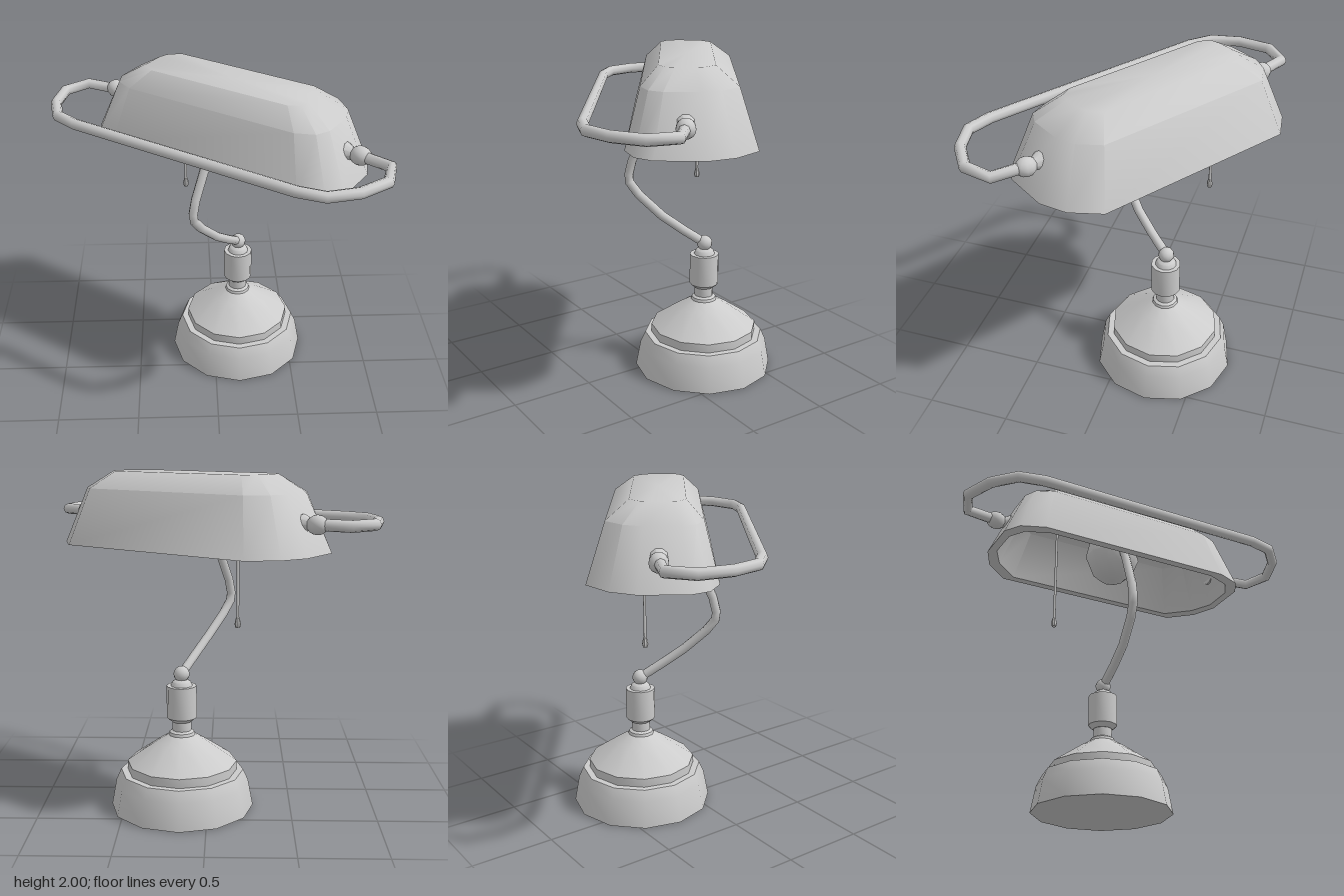
import * as THREE from 'three';
import { toCreasedNormals } from 'three/addons/utils/BufferGeometryUtils.js';

const grey = new THREE.MeshStandardMaterial({ color: 0xcccccc });
const CREASE = 0.7;

function addMesh(parent, name, geometry, x = 0, y = 0, z = 0) {
  const mesh = new THREE.Mesh(geometry, grey);
  mesh.name = name;
  mesh.position.set(x, y, z);
  parent.add(mesh);
  return mesh;
}

// Turned part from [radius, y] pairs, listed bottom to top
function turned(profile, sides) {
  const points = profile.map(([r, y]) => new THREE.Vector2(r, y));
  return toCreasedNormals(new THREE.LatheGeometry(points, sides), CREASE);
}

// Tube whose rings sit exactly on the given points
function bentTube(points, radius, sides) {
  const curve = new THREE.CatmullRomCurve3(
    points.map((p) => new THREE.Vector3(...p)), false, 'catmullrom', 0);
  curve.getPointAt = (t, target) => curve.getPoint(t, target);
  curve.getTangentAt = (t, target) => curve.getTangent(t, target);
  return new THREE.TubeGeometry(curve, points.length - 1, radius, sides);
}

// Skin over closed rings that share one point count
function loft(rings) {
  const n = rings[0].length;
  const index = [];
  for (let i = 0; i < rings.length - 1; i++) {
    for (let j = 0; j < n; j++) {
      const k = (j + 1) % n;
      const a = i * n + j, b = i * n + k, c = b + n, d = a + n;
      index.push(a, b, c, a, c, d);
    }
  }
  const geometry = new THREE.BufferGeometry();
  geometry.setAttribute('position', new THREE.Float32BufferAttribute(rings.flat(2), 3));
  geometry.setIndex(index);
  return toCreasedNormals(geometry, CREASE);
}

// Half outlines [x, z] of the shade, front to back, mirrored into full rings
const rimHalf = [[0.625, 0.157], [0.772, 0.1], [0.835, 0], [0.84, -0.28], [0.772, -0.432], [0.625, -0.563]];
const topHalf = [[0.45, -0.02], [0.515, -0.055], [0.53, -0.11], [0.53, -0.22], [0.515, -0.27], [0.45, -0.33]];

function shadeRing(t, y, inset = 0) {
  const half = rimHalf.map(([x, z], i) => {
    const px = x + (topHalf[i][0] - x) * t;
    const pz = z + (topHalf[i][1] - z) * t;
    return [px - inset, y, pz - inset * Math.max(-1, Math.min(1, (pz + 0.18) / 0.15))];
  });
  return [...half, ...half.map(([x, h, z]) => [-x, h, z]).reverse()];
}

function shadeGeometry() {
  const centre = (y) => Array.from({ length: 12 }, () => [0, y, -0.18]);
  return loft([
    centre(1.95), shadeRing(1, 1.95, 0.03), shadeRing(0.46, 1.87, 0.04), shadeRing(0, 1.57, 0.05),
    shadeRing(0, 1.57), shadeRing(0.46, 1.9), shadeRing(1, 2), centre(2),
  ]);
}

export function createModel() {
  const lamp = new THREE.Group();
  lamp.name = 'deskLamp';

  // Stepped foot, neck and switch barrel
  const baseX = 0.155, baseZ = -0.257;
  addMesh(lamp, 'base', turned([
    [0, 0], [0.43, 0], [0.4, 0.16], [0.37, 0.226], [0.33, 0.226], [0.33, 0.28],
    [0.15, 0.405], [0.08, 0.448], [0.075, 0.465], [0.057, 0.475], [0.057, 0.53], [0, 0.53],
  ], 12), baseX, 0, baseZ);
  addMesh(lamp, 'barrel', turned([
    [0, 0.53], [0.06, 0.53], [0.09, 0.555], [0.09, 0.75], [0.065, 0.75], [0.055, 0.775], [0.03, 0.79], [0, 0.79],
  ], 12), baseX, 0, baseZ);
  addMesh(lamp, 'swivelBall', new THREE.SphereGeometry(0.048, 12, 8), baseX, 0.82, baseZ);

  // Bent arm rising into the shade
  addMesh(lamp, 'arm', bentTube([
    [0.155, 0.82, -0.257], [0.08, 0.91, -0.14], [0.005, 1, -0.035], [-0.09, 1.127, 0.07],
    [-0.132, 1.2, 0.108], [-0.138, 1.25, 0.11], [-0.122, 1.339, 0.095],
    [-0.048, 1.57, 0.016], [0.04, 1.85, -0.09], [0.07, 1.94, -0.13],
  ], 0.028, 8));

  // Bulb with its socket
  addMesh(lamp, 'bulb', turned([
    [0, 1.51], [0.08, 1.53], [0.14, 1.59], [0.175, 1.68], [0.15, 1.79], [0.08, 1.86], [0.07, 1.95],
  ], 10), 0.077, 0, -0.155);

  // Pull cord with a small weight
  addMesh(lamp, 'pullCord', new THREE.CylinderGeometry(0.009, 0.009, 0.77, 6), -0.176, 1.57, -0.43);
  addMesh(lamp, 'cordWeight', turned([
    [0, 1.14], [0.014, 1.14], [0.018, 1.16], [0.015, 1.178], [0.009, 1.2],
  ], 8), -0.176, 0, -0.43);

  // Shade and its handle, turned together
  const head = new THREE.Group();
  head.name = 'head';
  head.position.set(-0.006, 0, -0.004);
  head.rotation.y = THREE.MathUtils.degToRad(-34.5);
  lamp.add(head);

  addMesh(head, 'shade', shadeGeometry());

  const handleHalf = [[0.6, 0.367], [0.73, 0.367], [0.885, 0.334], [1.01, 0.203], [1.085, 0.022], [1.03, -0.14], [0.82, -0.168]];
  const handlePath = [
    ...handleHalf.map(([x, z]) => [-x, 1.74, z]).reverse(),
    ...handleHalf.map(([x, z]) => [x, 1.74, z]),
  ];
  addMesh(head, 'handle', bentTube(handlePath, 0.033, 8));

  // Knob and flared collar at each end of the handle
  for (const side of [-1, 1]) {
    const knob = addMesh(head, 'handleKnob', new THREE.SphereGeometry(0.055, 10, 8), side * 0.835, 1.74, -0.168);
    knob.scale.x = 1.15;
    const collar = addMesh(head, 'handleCollar', turned([
      [0, -0.05], [0.057, -0.05], [0.055, -0.025], [0.036, 0.01], [0.036, 0.05], [0, 0.05],
    ], 10), side * 0.775, 1.74, -0.168);
    collar.rotation.z = -side * Math.PI / 2;
  }

  return lamp;
}
